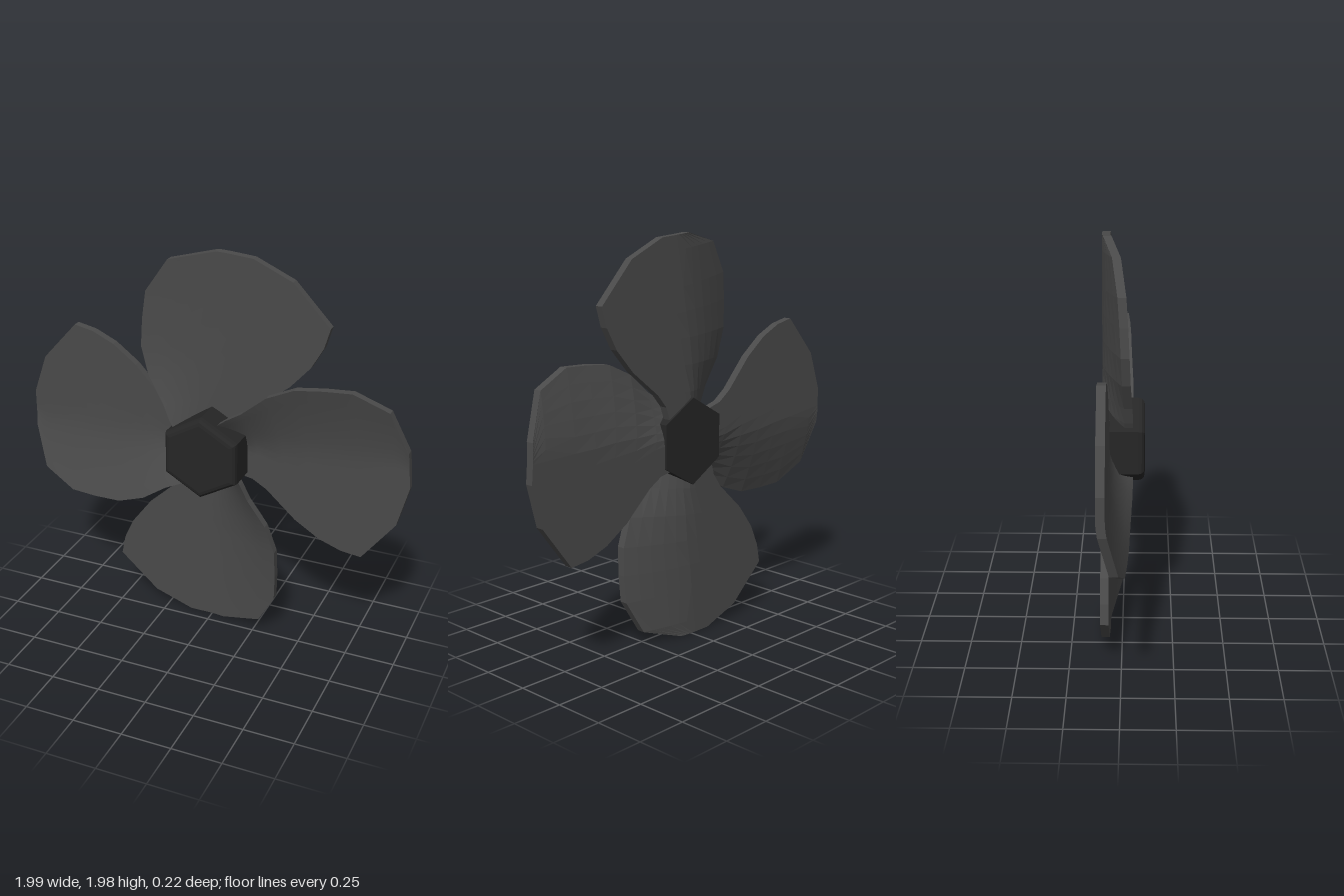
import * as THREE from 'three';

// Blade cross-sections from root to tip: leading x, y, trailing x, y, rise scale width, rise
const SECTIONS = [
  [-0.14, 0.05, 0.12, 0.05, 0.14, 0.11],
  [-0.19, 0.13, 0.16, 0.20, 0.19, 0.11],
  [-0.23, 0.21, 0.21, 0.27, 0.23, 0.108],
  [-0.32, 0.34, 0.36, 0.41, 0.32, 0.10],
  [-0.37, 0.48, 0.45, 0.53, 0.37, 0.095],
  [-0.375, 0.62, 0.50, 0.64, 0.37, 0.087],
  [-0.37, 0.755, 0.52, 0.74, 0.37, 0.08],
  [-0.28, 0.92, 0.32, 0.92, 0.37, 0.08],
  [-0.065, 0.99, 0.12, 0.99, 0.37, 0.08],
];
const COLS = 12;
const THICK = 0.04;

function geometryFrom(positions, index) {
  const g = new THREE.BufferGeometry();
  g.setAttribute('position', new THREE.Float32BufferAttribute(positions, 3));
  g.setIndex(index);
  g.computeVertexNormals();
  return g;
}

// Returns the smooth front skin and the faceted back with its rim
function bladeGeometries() {
  const front = [], back = [];
  for (const [lx, ly, tx, ty, width, rise] of SECTIONS) {
    for (let i = 0; i <= COLS; i++) {
      const u = i / COLS;
      const x = lx + (tx - lx) * u, y = ly + (ty - ly) * u;
      // flat trailing half, leading half curling forward
      const z = -0.06 + rise * Math.pow(Math.max(0, -x / width), 1.4);
      front.push(x, y, z);
      back.push(x, y, z - THICK);
    }
  }
  const n = COLS + 1, rows = SECTIONS.length, total = n * rows;
  const frontIndex = [], bodyIndex = [];
  for (let j = 0; j < rows - 1; j++) {
    for (let i = 0; i < COLS; i++) {
      const a = j * n + i, b = a + 1, c = b + n, d = a + n;
      frontIndex.push(a, b, c, a, c, d);
      bodyIndex.push(total + a, total + c, total + b, total + a, total + d, total + c);
    }
  }
  // Rim, walked counter-clockwise round the outline
  const loop = [];
  for (let i = 0; i < COLS; i++) loop.push(i);
  for (let j = 0; j < rows - 1; j++) loop.push(j * n + COLS);
  for (let i = COLS; i > 0; i--) loop.push((rows - 1) * n + i);
  for (let j = rows - 1; j > 0; j--) loop.push(j * n);
  loop.forEach((p, k) => {
    const q = loop[(k + 1) % loop.length];
    bodyIndex.push(p, total + p, total + q, p, total + q, q);
  });
  return [geometryFrom(front, frontIndex), geometryFrom([...front, ...back], bodyIndex)];
}

export function createModel() {
  const model = new THREE.Group();
  model.name = 'propeller';

  const smoothGrey = new THREE.MeshStandardMaterial({ color: 0x4a4a4a });
  const facetedGrey = new THREE.MeshStandardMaterial({ color: 0x4a4a4a, flatShading: true });
  const hubGrey = new THREE.MeshStandardMaterial({ color: 0x262626, flatShading: true });

  const rotor = new THREE.Group();
  rotor.name = 'rotor';
  rotor.position.y = 1;
  model.add(rotor);

  // Hexagonal hub, sharp at the back and rounded at the front
  const profile = [
    [0, -0.11], [0.215, -0.11], [0.215, 0.075], [0.21, 0.092], [0.197, 0.103], [0.18, 0.107], [0, 0.107],
  ].map(([r, h]) => new THREE.Vector2(r, h));
  const hub = new THREE.Mesh(new THREE.LatheGeometry(profile, 6).rotateX(Math.PI / 2), hubGrey);
  hub.name = 'hub';
  hub.position.y = -0.004;
  rotor.add(hub);

  // Four blades, slightly unevenly spaced (clockwise degrees from the top)
  const [skin, body] = bladeGeometries();
  for (const angle of [4.6, 85, 180, 270]) {
    const blade = new THREE.Group();
    blade.name = 'blade';
    const face = new THREE.Mesh(skin, smoothGrey);
    face.name = 'bladeFace';
    const backAndRim = new THREE.Mesh(body, facetedGrey);
    backAndRim.name = 'bladeBackAndRim';
    blade.add(face, backAndRim);
    blade.rotation.z = -THREE.MathUtils.degToRad(angle);
    rotor.add(blade);
  }
  return model;
}
